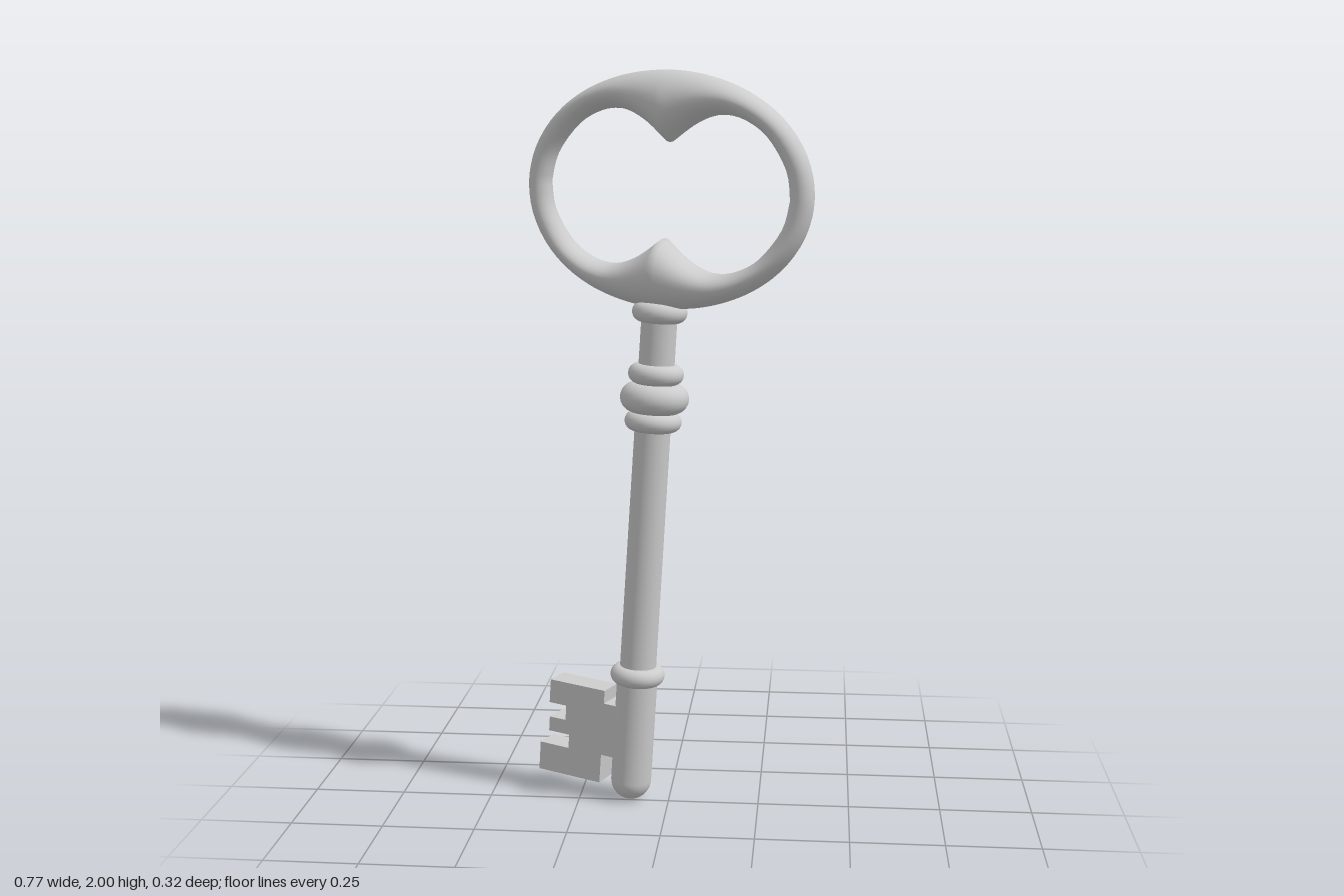
import * as THREE from 'three';

const material = new THREE.MeshStandardMaterial({ color: 0xcccccc });

function add(parent, name, geometry, y = 0) {
  const mesh = new THREE.Mesh(geometry, material);
  mesh.name = name;
  mesh.position.y = y;
  parent.add(mesh);
  return mesh;
}

// Oval ring whose section swells into a cusp at top and bottom
function bowGeometry() {
  const n = 28, m = 32, A = 0.41, B = 0.31;
  const inner = new THREE.SplineCurve([
    [0.348, 0], [0.332, 0.075], [0.275, 0.155], [0.21, 0.194],
    [0.15, 0.204], [0.1, 0.193], [0.05, 0.166], [0, 0.125],
  ].map(([x, y]) => new THREE.Vector2(x, y)));
  const rings = 4 * n, pos = [], index = [];
  for (let i = 0; i < rings; i++) {
    const q = Math.floor(i / n), k = (i % n) / n;
    const p = inner.getPoint(q % 2 ? 1 - k : k);
    const ri = p.length();
    const c = (q === 1 || q === 2 ? -1 : 1) * p.x / ri;
    const s = (q > 1 ? -1 : 1) * p.y / ri;
    const ro = 1 / Math.hypot(c / A, s / B);
    const mid = (ro + ri) / 2, half = (ro - ri) / 2;
    const w = 0.033 + 0.057 * (1 - Math.abs(mid * c) / 0.379);
    for (let j = 0; j < m; j++) {
      const t = (j / m) * Math.PI * 2, r = mid + half * Math.cos(t);
      pos.push(r * c, r * s, w * Math.sin(t));
      const a = i * m + j, b = ((i + 1) % rings) * m + j;
      const a2 = i * m + (j + 1) % m, b2 = ((i + 1) % rings) * m + (j + 1) % m;
      index.push(a, b, a2, b, b2, a2);
    }
  }
  const g = new THREE.BufferGeometry();
  g.setAttribute('position', new THREE.Float32BufferAttribute(pos, 3));
  g.setIndex(index);
  g.computeVertexNormals();
  return g;
}

// Rounded tip and thicker lower end of the shaft
function tipGeometry(r, top) {
  const pts = [];
  for (let i = 0; i <= 10; i++) {
    const a = (i / 10) * Math.PI / 2;
    pts.push(new THREE.Vector2(r * Math.sin(a), r - r * Math.cos(a)));
  }
  pts.push(new THREE.Vector2(r, top));
  return new THREE.LatheGeometry(pts, 40);
}

// Flat toothed plate joined to the shaft by a web
function bitGeometry() {
  const t = 0.075;
  const shape = new THREE.Shape([
    [0, 0.12], [0, 0.27], [-0.08, 0.27], [-0.08, 0.307],
    [-0.25, 0.307], [-0.25, 0.24], [-0.197, 0.24], [-0.197, 0.198],
    [-0.247, 0.198], [-0.247, 0.157], [-0.183, 0.157], [-0.183, 0.118],
    [-0.272, 0.118], [-0.272, 0.038], [-0.08, 0.038], [-0.08, 0.12],
  ].map(([x, y]) => new THREE.Vector2(x, y)));
  const g = new THREE.ExtrudeGeometry(shape, { depth: t, bevelEnabled: false });
  return g.translate(0, 0, -t / 2);
}

export function createModel() {
  const root = new THREE.Group();
  root.name = 'key';

  // Slight lean of the whole key, pivoting at the bow centre
  const lean = new THREE.Group();
  lean.name = 'leaningKey';
  lean.position.set(-0.003, 1.69, 0);
  lean.rotation.set(0.011, 0, -0.063);
  root.add(lean);

  // Turn about the shaft axis
  const body = new THREE.Group();
  body.name = 'keyBody';
  body.rotation.y = -0.35;
  body.position.y = -1.69;
  // Keep the pivot on the shaft axis
  lean.add(body);

  add(body, 'bow', bowGeometry(), 1.69);
  add(body, 'shaft', new THREE.CylinderGeometry(0.048, 0.05, 1.06, 40), 0.89);
  add(body, 'shaftTip', tipGeometry(0.056, 0.365));
  add(body, 'bit', bitGeometry());

  // Rounded collars: height, outer radius, half thickness
  for (const [y, r, h] of [
    [0.362, 0.075, 0.026], [1.074, 0.077, 0.026], [1.138, 0.093, 0.04],
    [1.203, 0.075, 0.027], [1.369, 0.074, 0.027],
  ]) {
    const g = new THREE.TorusGeometry(r - h, h, 20, 48);
    add(body, 'collar', g.rotateX(Math.PI / 2), y);
  }
  return root;
}
